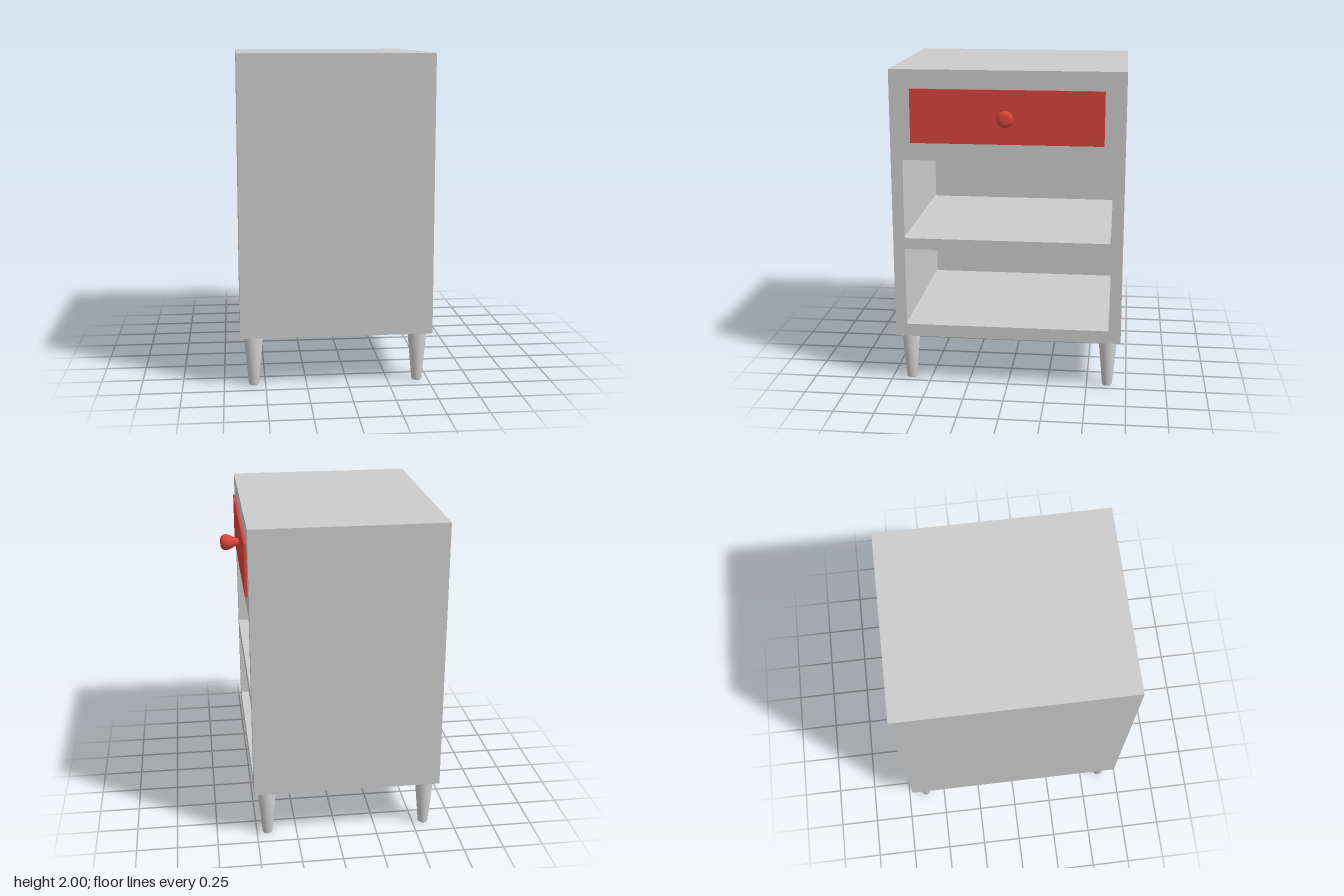
import * as THREE from 'three';

const grey = new THREE.MeshStandardMaterial({ color: 0xcccccc });
const red = new THREE.MeshStandardMaterial({ color: 0xd9433c });

function add(parent, name, geometry, material, x = 0, y = 0, z = 0) {
  const mesh = new THREE.Mesh(geometry, material);
  mesh.name = name;
  mesh.position.set(x, y, z);
  parent.add(mesh);
  return mesh;
}

// Rectangle outline with slightly rounded corners
function roundedRect(path, halfWidth, bottom, top, r) {
  const w = halfWidth;
  path.moveTo(-w + r, bottom);
  path.lineTo(w - r, bottom);
  path.quadraticCurveTo(w, bottom, w, bottom + r);
  path.lineTo(w, top - r);
  path.quadraticCurveTo(w, top, w - r, top);
  path.lineTo(-w + r, top);
  path.quadraticCurveTo(-w, top, -w, top - r);
  path.lineTo(-w, bottom + r);
  path.quadraticCurveTo(-w, bottom, -w + r, bottom);
  return path;
}

export function createModel() {
  const model = new THREE.Group();
  model.name = 'bedsideCabinet';

  const backX = -0.65, frontX = 0.515, backThickness = 0.07;
  const bottomY = 0.31, topY = 2, halfWidth = 0.71;

  // Carcass: a frame with two open shelf compartments, extruded along x
  const outline = new THREE.Shape([
    new THREE.Vector2(-halfWidth, bottomY),
    new THREE.Vector2(halfWidth, bottomY),
    new THREE.Vector2(halfWidth, topY),
    new THREE.Vector2(-halfWidth, topY),
  ]);
  for (const [low, high] of [[0.39, 0.885], [0.955, 1.45]]) {
    outline.holes.push(roundedRect(new THREE.Path(), 0.638, low, high, 0.012));
  }
  const carcass = new THREE.ExtrudeGeometry(outline, {
    depth: frontX - backX - backThickness, bevelEnabled: false, curveSegments: 4,
  });
  carcass.rotateY(Math.PI / 2);
  add(model, 'carcass', carcass, grey, backX + backThickness);

  // Back panel closing the compartments
  add(model, 'backPanel',
    new THREE.BoxGeometry(backThickness, topY - bottomY, halfWidth * 2), grey,
    backX + backThickness / 2, (topY + bottomY) / 2, 0);

  // Drawer front, standing slightly proud
  const drawer = new THREE.Group();
  drawer.name = 'drawer';
  drawer.position.set(frontX, 1.722, 0);
  model.add(drawer);
  add(drawer, 'drawerFront', new THREE.BoxGeometry(0.03, 0.327, 1.167), red);

  // Turned knob: narrow neck swelling to a rounded end
  const neck = new THREE.CatmullRomCurve3([
    [0.021, 0], [0.026, 0.018], [0.036, 0.04], [0.046, 0.06],
    [0.05, 0.08], [0.046, 0.1], [0.033, 0.112], [0, 0.116],
  ].map(([r, h]) => new THREE.Vector3(r, h, 0)));
  const knobProfile = [new THREE.Vector2(0, 0),
    ...neck.getPoints(20).map((p) => new THREE.Vector2(Math.max(p.x, 0), p.y))];
  const knob = add(drawer, 'knob', new THREE.LatheGeometry(knobProfile, 32), red, 0.015, 0.004, 0);
  knob.rotation.z = -Math.PI / 2;

  // Four tapered legs with softened feet
  const legProfile = [[0, 0], [0.027, 0], [0.031, 0.005], [0.059, bottomY], [0, bottomY]]
    .map(([r, y]) => new THREE.Vector2(r, y));
  const legGeometry = new THREE.LatheGeometry(legProfile, 32);
  for (const x of [-0.57, 0.433]) {
    for (const z of [-0.63, 0.63]) {
      const name = (x > 0 ? 'left' : 'right') + (z > 0 ? 'Front' : 'Back') + 'Leg';
      add(model, name, legGeometry, grey, x, 0, z);
    }
  }

  return model;
}
